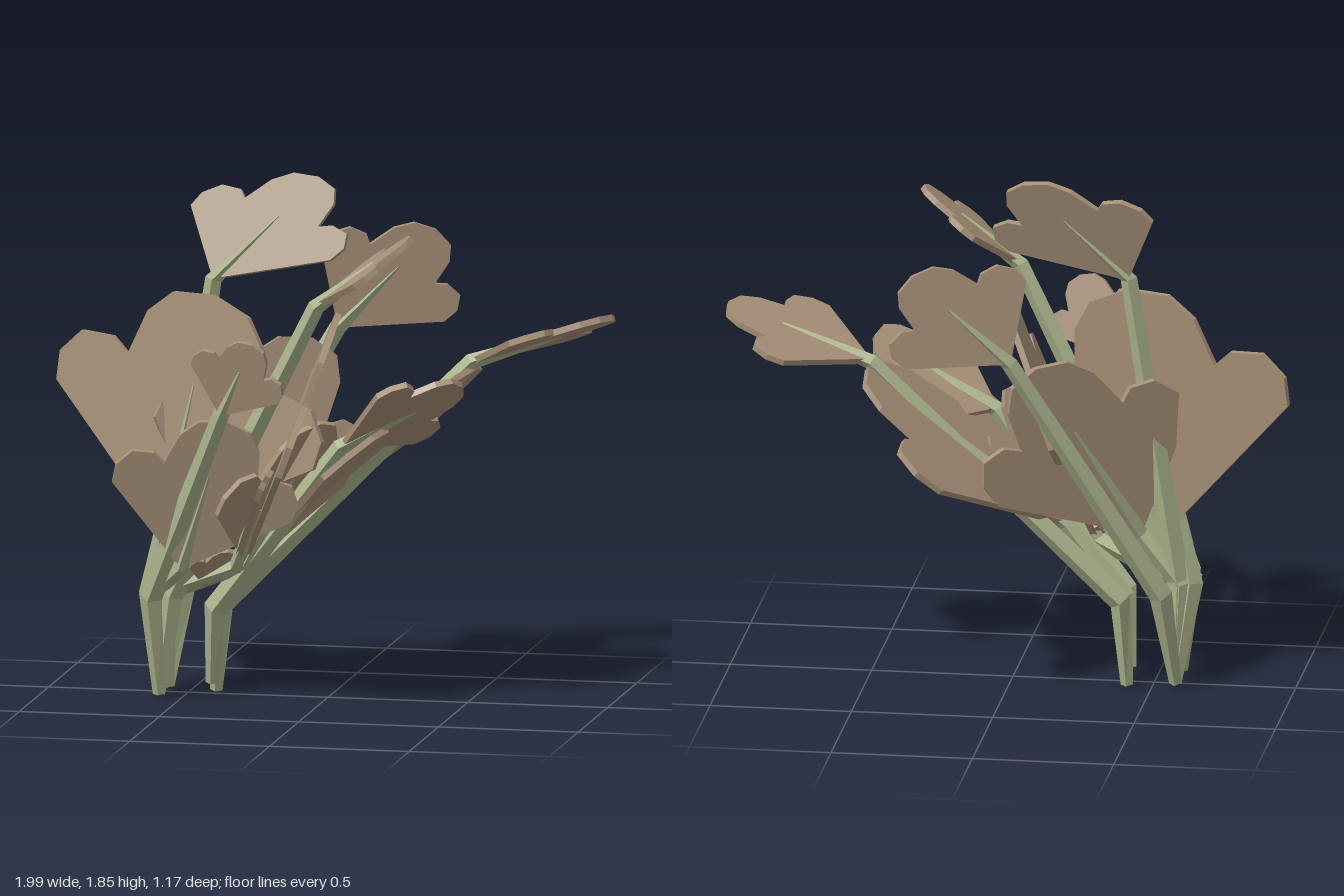
import * as THREE from 'three';

const V = (a) => new THREE.Vector3(...a);

// Right half of a three-lobed fan leaf: the side lobe is near x = 1, the tip at y = 1
const HALF = [[1.03, 0.45], [1.05, 0.57], [0.92, 0.68], [0.68, 0.7], [0.54, 0.65], [0.46, 0.85], [0.3, 0.96]];
const LOBE = 0.62;
const THICK = 0.022;

// Each leaf: its base, its tip and one side lobe (the other lobe is mirrored)
const LEAVES = {
  topLeaf: [[-0.41, 1.49, 0], [-0.05, 1.85, -0.09], [-0.44, 1.79, -0.11]],
  upperFrontLeaf: [[0.01, 1.45, 0.25], [0.36, 1.71, 0.28], [0.24, 1.6, 0.42]],
  upperBackLeaf: [[-0.04, 1.27, -0.36], [0.29, 1.61, -0.47], [-0.03, 1.62, -0.34]],
  farSideLeaf: [[0.48, 1.2, -0.17], [0.99, 1.38, -0.14], [0.84, 1.28, -0.38]],
  smallFrontLeaf: [[-0.3, 1.08, 0.4], [-0.17, 1.35, 0.48], [-0.37, 1.31, 0.45]],
  largeLeftLeaf: [[-0.58, 0.6, 0.05], [-0.4, 1.44, 0.04], [-0.95, 1.23, -0.13]],
  largeMiddleLeaf: [[-0.28, 0.5, 0.1], [0.08, 1.42, 0.2], [0, 1.05, 0.57]],
  largeBackLeaf: [[-0.45, 0.56, 0], [-0.12, 1.24, -0.3], [-0.55, 1.11, -0.02]],
  largeSideLeaf: [[-0.19, 0.59, -0.02], [0.49, 1.18, -0.19], [0.29, 0.95, -0.57]],
  middleSideLeaf: [[0.08, 0.94, 0.17], [0.52, 1.18, 0.19], [0.33, 1.2, 0.38]],
  lowerMiddleLeaf: [[-0.27, 0.5, 0.12], [0.01, 1.03, 0.2], [-0.28, 0.8, 0.33]],
  frontLeftLeaf: [[-0.48, 0.5, 0.22], [-0.3, 1.04, 0.3], [-0.66, 0.91, 0.36]],
  lowerFrontLeaf: [[-0.3, 0.5, 0.15], [-0.12, 0.88, 0.4], [-0.13, 0.85, 0.5]],
  lowestLeaf: [[-0.42, 0.42, 0.1], [-0.32, 0.56, 0.18], [-0.44, 0.52, 0.2]],
};

// Leaf slab stretched onto its base, tip and side lobe
function leafBlade(base, up, lobe) {
  const mirrored = HALF.map(([x, y]) => [-x, y]).reverse();
  const outline = [[0, 0], ...HALF, [0, 1], ...mirrored].map(([x, y]) => new THREE.Vector2(x, y));
  const geo = new THREE.ExtrudeGeometry(new THREE.Shape(outline), { depth: THICK, bevelEnabled: false });
  geo.translate(0, 0, -THICK / 2);
  const side = lobe.clone().sub(base).addScaledVector(up, -LOBE);
  const normal = side.clone().cross(up).normalize();
  geo.applyMatrix4(new THREE.Matrix4().makeBasis(side, up, normal).setPosition(base));
  geo.computeVertexNormals();
  return geo;
}

// Four-sided stalk: a narrow foot, a thick bend, then a taper along the leaf
function stalk(points) {
  const radii = [0.022, 0.042, 0.03, 0.015];
  const last = points.length - 1;
  const geo = new THREE.CylinderGeometry(1, 1, 1, 4, last);
  const pos = geo.attributes.position;
  for (let i = 0; i < pos.count; i++) {
    const k = Math.round((pos.getY(i) + 0.5) * last);
    const dir = points[Math.min(k + 1, last)].clone().sub(points[Math.max(k - 1, 0)]).normalize();
    const across = dir.clone().cross(new THREE.Vector3(0, 0, 1)).normalize();
    const deep = across.clone().cross(dir);
    const p = points[k].clone()
      .addScaledVector(across, pos.getX(i) * radii[k])
      .addScaledVector(deep, pos.getZ(i) * radii[k]);
    pos.setXYZ(i, p.x, p.y, p.z);
  }
  geo.computeVertexNormals();
  return geo;
}

export function createModel() {
  const leafBrown = new THREE.MeshStandardMaterial({ color: 0xa69077, flatShading: true });
  leafBrown.name = 'leafBrown';
  const stemGreen = new THREE.MeshStandardMaterial({ color: 0xa8b18a, flatShading: true });
  stemGreen.name = 'stemGreen';

  const model = new THREE.Group();
  model.name = 'leafClump';
  for (const [name, points] of Object.entries(LEAVES)) {
    const [base, tip, lobe] = points.map(V);
    const up = tip.clone().sub(base);
    const part = new THREE.Group();
    part.name = name;

    const blade = new THREE.Mesh(leafBlade(base, up, lobe), leafBrown);
    blade.name = 'blade';
    part.add(blade);

    // Stems rise from four feet, bend low down and fan out; the lowest leaf shares a stem
    if (name !== 'lowestLeaf') {
      const far = tip.x > 0.4;
      const front = base.z > 0.08;
      const root = far
        ? new THREE.Vector3(-0.41, front ? 0.06 : 0.02, front ? 0.03 : -0.05)
        : new THREE.Vector3(-0.58, 0.03, front ? 0.12 : -0.04);
      const bend = far
        ? new THREE.Vector3(-0.39, 0.33, 0.42 * base.z)
        : new THREE.Vector3(-0.58 + 0.12 * tip.x, 0.38, 0.42 * base.z);
      const end = base.clone().addScaledVector(up, LOBE);
      const stem = new THREE.Mesh(stalk([root, bend, base, end]), stemGreen);
      stem.name = 'stem';
      part.add(stem);
    }
    model.add(part);
  }
  return model;
}
